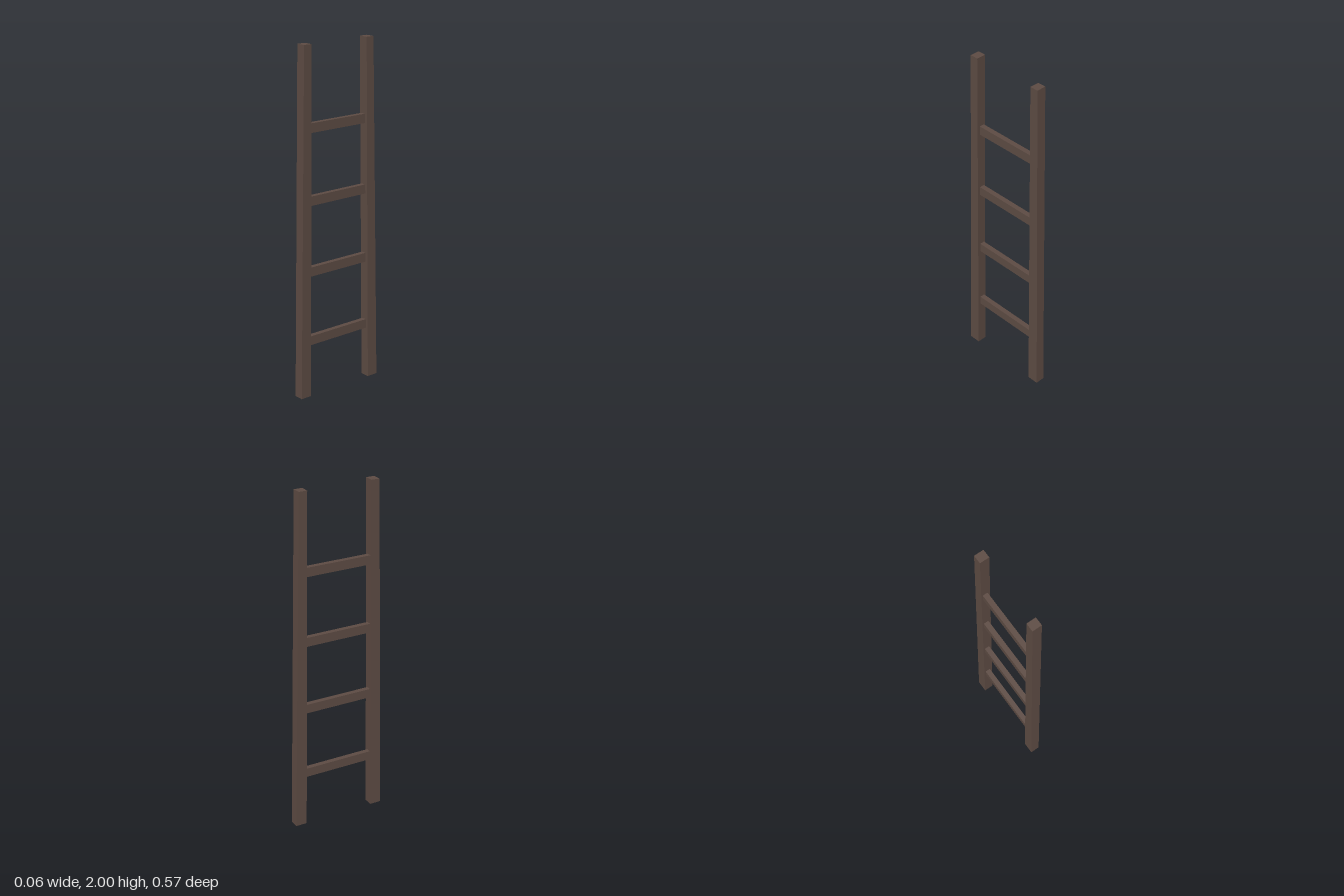
import * as THREE from 'three';

// Sideways lean shared by all parts
const lean = (y) => 0.003 * (1 - y);

export function createModel() {
  const wood = new THREE.MeshStandardMaterial({ color: 0x5d4b43 });
  wood.name = 'darkWood';
  const ladder = new THREE.Group();
  ladder.name = 'ladder';

  // Box whose corners are moved by a rule, then shaded flat
  function addBox(name, w, h, d, move) {
    const geo = new THREE.BoxGeometry(w, h, d);
    const pos = geo.attributes.position;
    const v = new THREE.Vector3();
    for (let i = 0; i < pos.count; i++) {
      v.fromBufferAttribute(pos, i);
      move(v);
      pos.setXYZ(i, v.x, v.y, v.z);
    }
    geo.computeVertexNormals();
    const mesh = new THREE.Mesh(geo, wood);
    mesh.name = name;
    ladder.add(mesh);
  }

  // Side rails: splayed outward and thicker at the foot
  for (const side of [1, -1]) {
    addBox(side > 0 ? 'frontRail' : 'backRail', 0.056, 2, 1, (v) => {
      const t = (v.y + 1) / 2;
      v.y += 1;
      v.x += lean(v.y);
      const centre = THREE.MathUtils.lerp(0.25, 0.219, t);
      const depth = THREE.MathUtils.lerp(0.068, 0.05, t);
      v.z = side * centre + v.z * depth;
    });
  }

  // Rungs: ends sunk into the rails
  for (let i = 0; i < 4; i++) {
    const y = 0.327 + i * 0.406;
    const length = 2 * (0.23 - 0.011 * y);
    addBox(`rung${i + 1}`, 0.03, 0.053, length, (v) => {
      v.y += y;
      v.x += lean(v.y) - 0.0035;
    });
  }

  return ladder;
}
